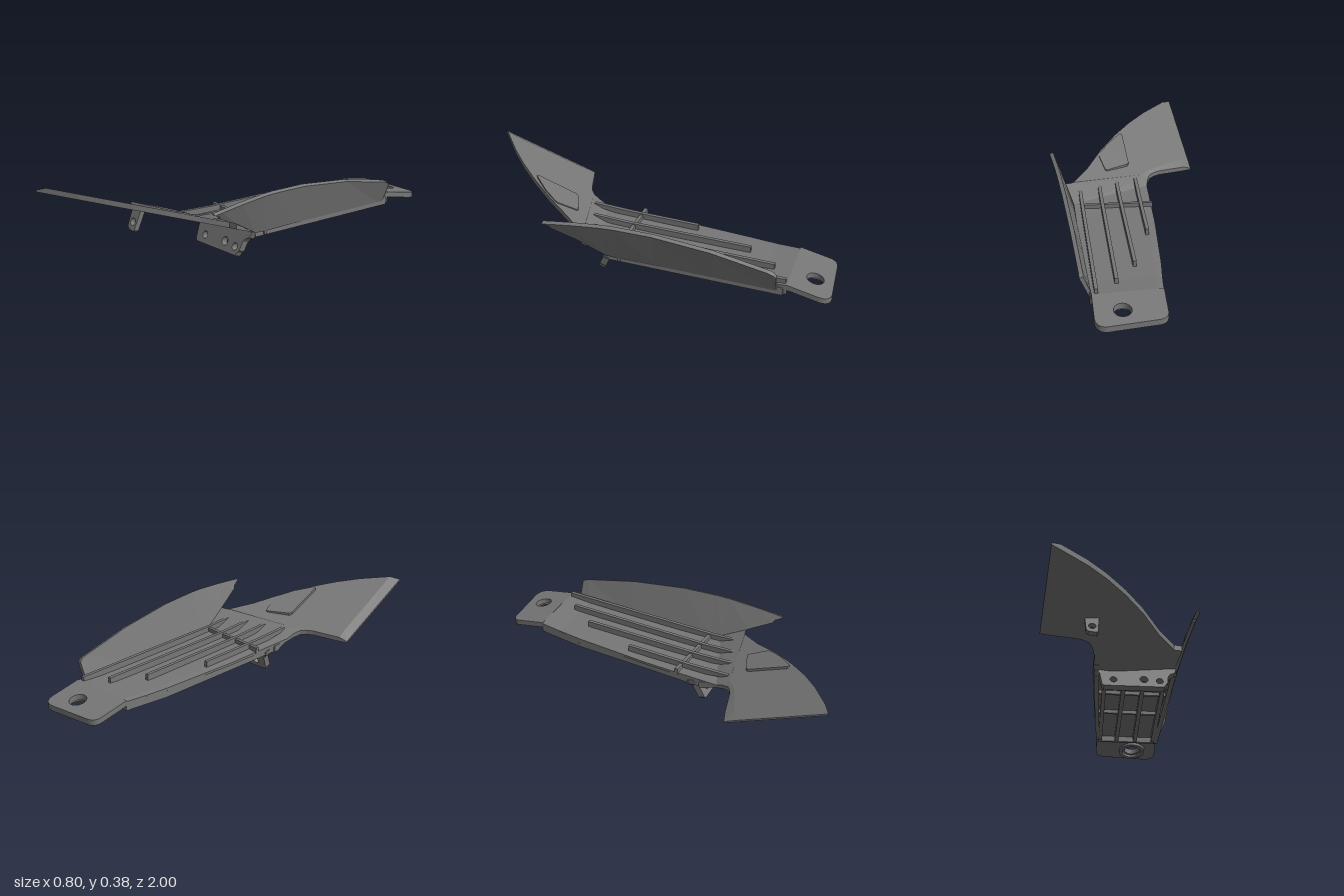
import * as THREE from 'three';

const V = (x, y, z) => new THREE.Vector3(x, y, z);
const FLOOR = 0.141;

// underside height: a flat floor that folds up into the tilted wing plane
const wing = (x, z) => 0.36 + 0.137 * (x + 0.38) + 0.375 * (z - 1);
const under = (x, z) => Math.max(FLOOR, wing(x, z));

// closed, flat-shaded skin through a list of equal-length rings
function loft(rings) {
  const tris = [], n = rings[0].length, last = rings.length - 1;
  for (let i = 0; i < last; i++) {
    for (let j = 0; j < n; j++) {
      const k = (j + 1) % n, a = rings[i][j], b = rings[i][k], c = rings[i + 1][k], d = rings[i + 1][j];
      tris.push([a, b, c], [a, c, d]);
    }
  }
  for (let k = 1; k < n - 1; k++) {
    tris.push([rings[0][0], rings[0][k + 1], rings[0][k]]);
    tris.push([rings[last][0], rings[last][k], rings[last][k + 1]]);
  }
  // turn the skin outwards whichever way the rings run
  let volume = 0;
  for (const [a, b, c] of tris) volume += a.dot(b.clone().cross(c));
  const pts = tris.flatMap(([a, b, c]) => (volume < 0 ? [a, c, b] : [a, b, c]));
  const g = new THREE.BufferGeometry().setFromPoints(pts);
  g.computeVertexNormals();
  return g;
}

// straight bar between two plan points; heights given for both ends
function bar([x0, z0], [x1, z1], top0, bot0, top1 = top0, bot1 = bot0, w = 0.018) {
  const l = Math.hypot(x1 - x0, z1 - z0), nx = -(z1 - z0) / l * w / 2, nz = (x1 - x0) / l * w / 2;
  const ring = (x, z, b, t) => [V(x - nx, b, z - nz), V(x + nx, b, z + nz), V(x + nx, t, z + nz), V(x - nx, t, z - nz)];
  return loft([ring(x0, z0, bot0, top0), ring(x1, z1, bot1, top1)]);
}

function shapeOf(points, holes = []) {
  const s = new THREE.Shape(points.map(([x, y]) => new THREE.Vector2(x, y)));
  for (const [x, y, r] of holes) s.holes.push(new THREE.Path().absarc(x, y, r, 0, Math.PI * 2, true));
  return s;
}

// extrude a shape, then move every vertex by a rule
function extrude(shape, depth, rule, flat = false) {
  const g = new THREE.ExtrudeGeometry(shape, { depth, bevelEnabled: false, curveSegments: 16 });
  if (flat) g.rotateX(Math.PI / 2); // shape y becomes z, depth goes down
  const p = g.attributes.position, v = new THREE.Vector3();
  for (let i = 0; i < p.count; i++) {
    rule(v.fromBufferAttribute(p, i));
    p.setXYZ(i, v.x, v.y, v.z);
  }
  g.computeVertexNormals();
  return g;
}

// lean an upright extrusion so that its foot comes forward and its thickness stays square
const lean = (z, top) => (v) => {
  const depth = v.z;
  v.z += z + (top - v.y) * 0.42;
  v.y += depth * 0.35;
};

export function createModel() {
  const group = new THREE.Group();
  const mat = new THREE.MeshStandardMaterial({ color: 0x777777, flatShading: true });
  const add = (name, geo) => {
    const m = new THREE.Mesh(geo, mat);
    m.name = name;
    group.add(m);
  };

  // main plate: left x, z, right x, z, thickness; from the rear to the wing end
  const stations = [
    [0.002, -0.785, 0.35, -0.785, 0.027], [-0.015, -0.66, 0.345, -0.65, 0.018],
    [-0.035, -0.53, 0.34, -0.5, 0.016], [-0.085, -0.1, 0.325, -0.1, 0.016],
    [-0.12, 0.32, 0.31, 0.165, 0.022], [-0.13, 0.36, 0.335, 0.298, 0.028],
    [-0.148, 0.395, 0.292, 0.308, 0.03], [-0.175, 0.415, 0.2, 0.415, 0.03],
    [-0.21, 0.43, 0.1, 0.56, 0.03], [-0.25, 0.44, 0, 0.68, 0.03],
    [-0.29, 0.45, -0.1, 0.783, 0.03], [-0.33, 0.46, -0.2, 0.87, 0.03],
    [-0.36, 0.468, -0.335, 0.968, 0.03], [-0.402, 0.48, -0.38, 1.0, 0.01],
  ];
  add('plate', loft(stations.map(([xl, zl, xr, zr, t]) => {
    const at = (f, h) => {
      const x = xl + (xr - xl) * f, z = zl + (zr - zl) * f;
      return V(x, under(x, z) + h, z);
    };
    return [at(0, 0), at(1, 0), at(1, t), at(0.1, t), at(0, t * 0.8)];
  })));

  // rear tab sloping down, with a bolt hole and a ring under it
  const slope = (drop) => (v) => { v.y += 0.125 + (v.z + 1) * 0.2 - drop; };
  const tab = new THREE.Shape();
  tab.moveTo(0.0, -0.78);
  tab.lineTo(0.01, -0.94);
  tab.quadraticCurveTo(0.015, -0.98, 0.06, -0.985);
  tab.lineTo(0.3, -1.0);
  tab.quadraticCurveTo(0.36, -1.0, 0.36, -0.94);
  tab.lineTo(0.35, -0.78);
  tab.holes.push(new THREE.Path().absarc(0.22, -0.9, 0.044, 0, Math.PI * 2, true));
  add('rearTab', extrude(tab, 0.03, slope(0), true));
  const ring = new THREE.Shape().absarc(0.22, -0.9, 0.075, 0, Math.PI * 2);
  ring.holes.push(new THREE.Path().absarc(0.22, -0.9, 0.055, 0, Math.PI * 2, true));
  add('boltRing', extrude(ring, 0.016, slope(0.028), true));

  // long ribs, standing above the floor and hanging below it
  const ribs = [
    [-0.02, -0.23, -0.06, 0.36], [0.1, -0.54, 0.05, 0.33],
    [0.215, -0.69, 0.15, 0.3], [0.325, -0.77, 0.26, 0.28],
  ];
  for (const [x0, z0, x1, z1] of ribs) {
    const xAt = (z) => x0 + (x1 - x0) * (z - z0) / (z1 - z0);
    const zm = 0.14, tail = -0.74;
    add('upperRib', bar([x0, z0], [xAt(zm), zm], 0.19, 0.148));
    add('upperRibEnd', bar([xAt(zm), zm], [x1, z1], 0.19, 0.148, 0.198, 0.18));
    add('lowerRib', bar([xAt(tail), tail], [xAt(zm), zm], 0.148, 0.106, 0.148, 0.112, 0.022));
  }
  add('upperCrossRib', bar([-0.105, 0.085], [0.27, 0.115], 0.182, 0.148));
  for (const [z, xl] of [[0.1, -0.09], [-0.12, -0.07], [-0.38, -0.04]]) {
    add('lowerCrossRib', bar([xl, z], [0.33, z], 0.148, 0.122));
  }

  // skirt walls round the underside of the floor
  add('leftSkirt', bar([-0.022, -0.53], [-0.1, 0.25], 0.148, 0.103, 0.148, 0.113, 0.024));
  add('leftRearSkirt', bar([0.014, -0.78], [-0.022, -0.53], 0.152, 0.112, 0.148, 0.103, 0.024));
  add('rightSkirt', bar([0.342, -0.76], [0.31, 0.16], 0.15, 0.105, 0.15, 0.118, 0.024));
  add('rearSkirt', bar([0.015, -0.77], [0.345, -0.77], 0.155, 0.11));

  // front wall carrying the wing plane on down below the floor
  add('frontSkirt', loft([[-0.115, 0.111], [0.05, 0.114], [0.315, 0.135]].map(([x, y]) => {
    const zAt = (h) => 1 + (h - 0.36 - 0.137 * (x + 0.38)) / 0.375;
    const back = zAt(y) - 0.02;
    return [V(x, y, back), V(x, y, zAt(y)), V(x, 0.148, zAt(0.148)), V(x, 0.148, back)];
  })));

  // side fin leaning outward: z, bottom y, top y
  const fin = [
    [-0.73, 0.13, 0.24], [-0.718, 0.13, 0.254], [-0.69, 0.13, 0.264], [-0.4, 0.135, 0.325], [-0.1, 0.14, 0.36],
    [0.1, 0.14, 0.365], [0.17, 0.145, 0.363], [0.31, 0.228, 0.351], [0.44, 0.29, 0.336],
    [0.445, 0.303, 0.335], [0.485, 0.322, 0.33],
  ];
  add('sideFin', loft(fin.map(([z, b, t]) => {
    const base = 0.355 - 0.03 * (z + 0.73) / 0.9;
    const x = (y) => base + (0.4 - base) * (y - 0.13) / (t - 0.13);
    return [V(x(b) - 0.018, b, z), V(x(b), b, z), V(x(t), t - 0.008, z), V(x(t) - 0.02, t, z)];
  })));

  // front mounting flange with three holes
  const flange = shapeOf([
    [-0.11, 0.13], [-0.105, 0.105], [-0.08, 0.086], [-0.07, 0.01], [-0.06, 0], [0.25, 0.004], [0.258, 0.022],
    [0.268, 0.032], [0.275, 0.08], [0.285, 0.094], [0.31, 0.106], [0.32, 0.135],
  ], [[-0.01, 0.043, 0.018], [0.147, 0.051, 0.021], [0.228, 0.044, 0.018]]);
  add('frontFlange', extrude(flange, 0.034, lean(0.15, 0.13)));

  // small hanging lug under the wing
  const lug = shapeOf([
    [-0.187, 0.215], [-0.183, 0.136], [-0.172, 0.123], [-0.13, 0.117], [-0.122, 0.127], [-0.118, 0.22],
  ], [[-0.152, 0.16, 0.018]]);
  add('wingLug', extrude(lug, 0.026, lean(0.525, 0.225)));

  // raised pad on top of the wing, running out flush towards the edge
  const pad = shapeOf([
    [-0.04, 0.46], [-0.03, 0.445], [0.09, 0.402], [0.1, 0.405], [0.12, 0.505], [0.115, 0.52],
    [0.06, 0.595], [-0.025, 0.675], [-0.038, 0.67],
  ]);
  add('wingPad', extrude(pad, 0.025, (v) => { v.y += wing(v.x, v.z) + 0.042 - 0.05 * v.x; }, true));

  return group;
}
